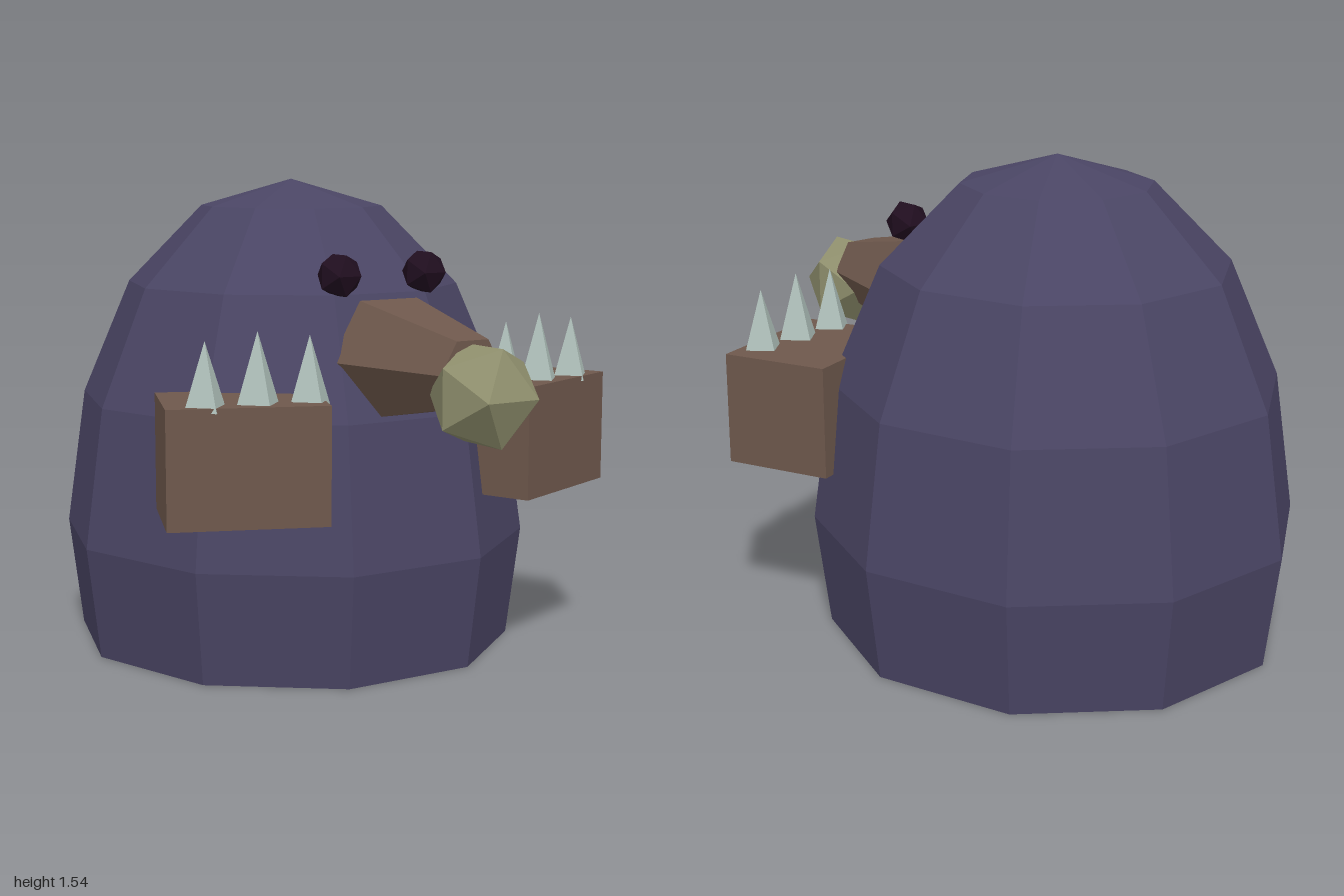
import * as THREE from 'three';

const mat = (name, color, extra = {}) =>
  new THREE.MeshStandardMaterial({ name, color, flatShading: true, ...extra });

export function createModel() {
  const model = new THREE.Group();
  model.name = 'moundCreature';

  const purple = mat('dusky purple', 0x4a4564, { side: THREE.DoubleSide });
  const brown = mat('earth brown', 0x6e584c);
  const olive = mat('pale olive', 0x8f8f6d);
  const bone = mat('grey bone', 0xafc0ba);
  const dark = mat('dark plum', 0x200e1f);

  const add = (name, geometry, material, x, y, z, parent = model) => {
    const mesh = new THREE.Mesh(geometry, material);
    mesh.name = name;
    mesh.position.set(x, y, z);
    parent.add(mesh);
    return mesh;
  };

  // Ten-sided dome, open underneath and slightly deeper than wide
  const profile = [[0.727, 0], [0.772, 0.365], [0.708, 0.82], [0.548, 1.2], [0.3, 1.457], [0, 1.545]]
    .map(([r, y]) => new THREE.Vector2(r, y));
  const dome = new THREE.LatheGeometry(profile, 10, Math.PI / 2);
  dome.scale(1, 1, 1.045);
  add('body', dome, purple, 0, 0, -0.233);

  // Tapered six-sided snout with a faceted ball at its tip
  const snout = new THREE.CylinderGeometry(0.113, 0.213, 0.44, 6);
  snout.rotateY(Math.PI / 6);
  snout.rotateX(Math.PI / 2);
  add('snout', snout, brown, 0, 1.0, 0.58);
  const ball = (r) => new THREE.IcosahedronGeometry(r, 0).rotateZ(Math.PI / 2);
  add('noseBall', ball(0.171), olive, 0, 0.941, 0.855);

  // Eyes, block arms and their spikes, mirrored left and right
  for (const [side, s] of [['left', 1], ['right', -1]]) {
    add(side + 'Eye', ball(0.075), dark, s * 0.158, 1.262, 0.323);

    const arm = add(side + 'Arm', new THREE.BoxGeometry(0.485, 0.36, 0.364), brown, s * 0.522, 0.73, 0.35);
    arm.rotation.y = s * 0.38;

    const spikes = new THREE.Group();
    spikes.name = side + 'Spikes';
    model.add(spikes);
    for (const [x, z, tip, r] of [[0.68, 0.42, 1.1, 0.07], [0.522, 0.452, 1.123, 0.075], [0.363, 0.485, 1.107, 0.07]]) {
      const h = tip - 0.895;
      add('spike', new THREE.ConeGeometry(r, h, 4), bone, s * x, 0.895 + h / 2, z, spikes);
    }
  }
  return model;
}
